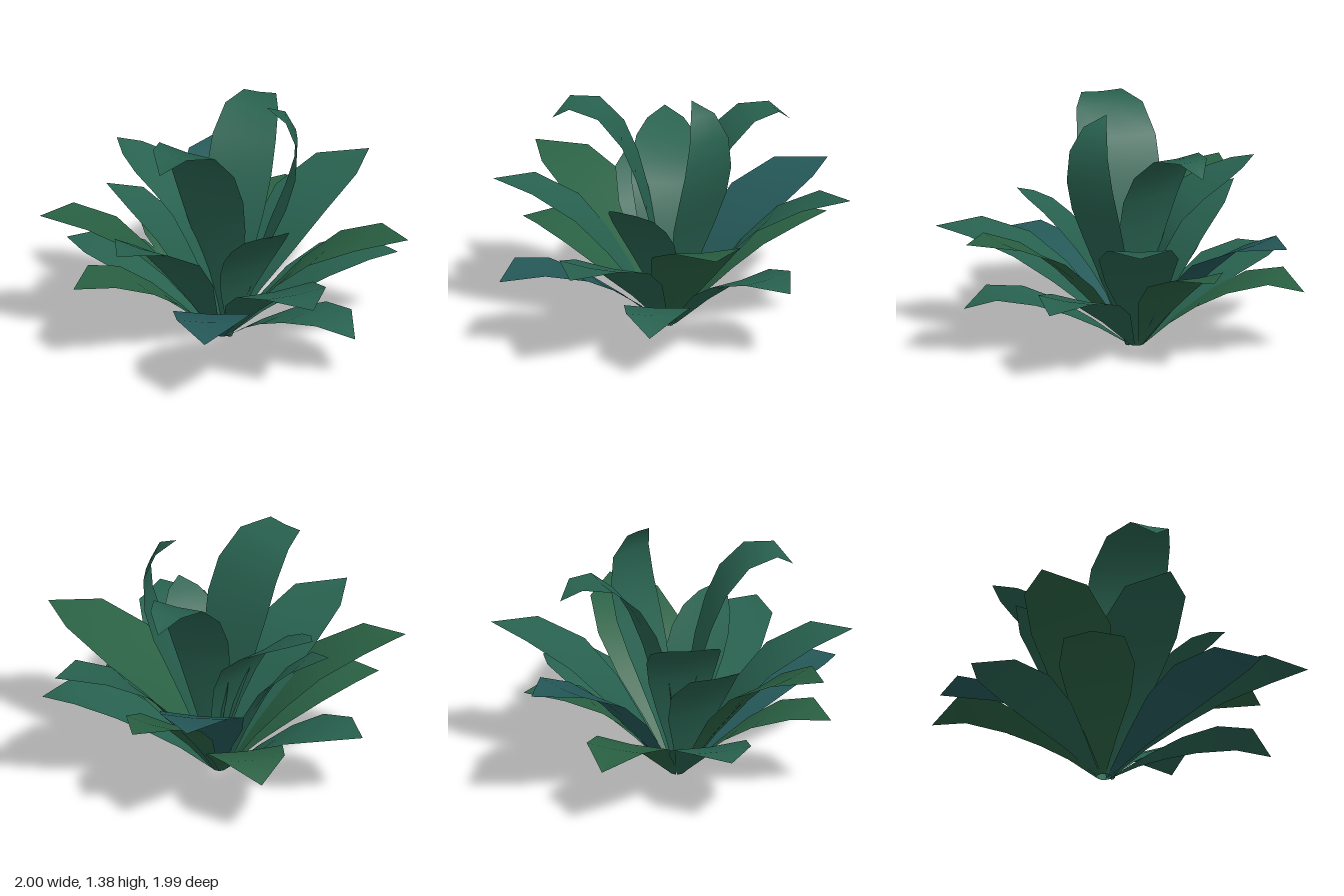
import * as THREE from 'three';

const OUTER_BASE = [-0.09, 0.04], INNER_BASE = [-0.05, 0.03];
const TEAL = 0x28614f, GREEN = 0x296043, BLUE = 0x255858;

// Leaf outlines: [share of the length, share of full width]
const OUTER_OUTLINE = [[0, 0.06], [0.22, 0.44], [0.42, 0.82], [0.62, 1], [0.83, 0.8], [1, 0]];
const INNER_OUTLINE = [[0, 0.06], [0.15, 0.32], [0.3, 0.62], [0.45, 0.88], [0.58, 1], [0.7, 0.98], [0.82, 0.82], [0.92, 0.5], [1, 0]];

// One leaf: spine is a list of [distance from the base, height], bent in the plane of the given angle
function leaf(name, [bx, bz], angle, spine, outline, width, color) {
  const curve = new THREE.CatmullRomCurve3(spine.map(([r, y]) => new THREE.Vector3(r, y, 0)));
  const pos = [], index = [];
  const dx = Math.cos(angle), dz = Math.sin(angle);
  outline.forEach(([t, w], i) => {
    const p = curve.getPointAt(t), d = curve.getTangentAt(t);
    const half = w * width / 2;
    for (const s of [-1, 0, 1]) {
      // edges rise a little above the midrib
      const lift = Math.abs(s) * half * 0.05;
      const r = p.x - d.y * lift, y = p.y + d.x * lift;
      pos.push(bx + dx * r - dz * s * half, y, bz + dz * r + dx * s * half);
    }
    if (i === 0) return;
    for (let k = 0; k < 2; k++) {
      const a = (i - 1) * 3 + k, b = a + 1, c = a + 3, e = a + 4;
      // the last row closes to a point
      if (i < outline.length - 1) index.push(a, b, c, b, e, c);
      else index.push(a, b, e);
    }
  });
  const geo = new THREE.BufferGeometry();
  geo.setAttribute('position', new THREE.Float32BufferAttribute(pos, 3));
  geo.setIndex(index);
  geo.computeVertexNormals();
  const mesh = new THREE.Mesh(geo, new THREE.MeshStandardMaterial({ color, side: THREE.DoubleSide }));
  mesh.name = name;
  return mesh;
}

// Arching leaf from its tip [x, y, z] and its height near the last bend
function archedLeaf(name, [x, y, z], bend, width, color) {
  const rx = x - OUTER_BASE[0], rz = z - OUTER_BASE[1], R = Math.hypot(rx, rz);
  const spine = [[0.04, 0.01], [0.3 * R, 0.5 * bend], [0.58 * R, 0.86 * bend], [0.82 * R, bend], [R, y]];
  return leaf(name, OUTER_BASE, Math.atan2(rz, rx), spine, OUTER_OUTLINE, width, color);
}

export function createModel() {
  const plant = new THREE.Group();
  plant.name = 'leafyPlant';

  // Low outer ring
  const lower = [
    [[0.87, 0.27, -0.09], 0.35, 0.37, TEAL],
    [[0.65, 0.44, 0.82], 0.485, 0.43, BLUE],
    [[-0.32, 0.47, 0.93], 0.505, 0.42, GREEN],
    [[-0.91, 0.44, 0.46], 0.44, 0.43, TEAL],
    [[-1.0, 0.38, -0.25], 0.455, 0.43, GREEN],
    [[0.44, 0.44, -0.78], 0.475, 0.43, TEAL],
    [[-0.47, 0.6, -0.76], 0.59, 0.4, GREEN],
  ];
  // Middle ring
  const middle = [
    [[1.0, 0.62, 0.33], 0.625, 0.47, TEAL],
    [[0.88, 0.76, -0.47], 0.74, 0.49, GREEN],
    [[-0.05, 0.83, -1.0], 0.81, 0.44, TEAL],
    [[-0.88, 0.76, -0.66], 0.75, 0.47, BLUE],
    [[-0.6, 0.82, 0.93], 0.8, 0.46, GREEN],
    [[0.11, 0.84, 0.99], 0.82, 0.45, TEAL],
    [[-0.65, 0.84, 0.4], 0.79, 0.37, TEAL],
  ];
  lower.forEach(([tip, bend, w, c], i) => plant.add(archedLeaf(`lowerLeaf${i + 1}`, tip, bend, w, c)));
  middle.forEach(([tip, bend, w, c], i) => plant.add(archedLeaf(`middleLeaf${i + 1}`, tip, bend, w, c)));

  // Upright inner leaves
  const inner = [
    ['innerRightLeaf', 2.86, [[0.02, 0.01], [0.1, 0.42], [0.26, 0.77], [0.47, 0.91], [0.6, 0.975], [0.73, 1.03]], 0.4],
    ['innerLeftLeaf', 0.24, [[0.02, 0.01], [0.1, 0.29], [0.22, 0.52], [0.34, 0.67], [0.47, 0.79], [0.63, 0.88]], 0.34],
    ['tallFrontLeaf', 1.35, [[0.01, 0.01], [0.06, 0.4], [0.16, 0.85], [0.27, 1.13], [0.38, 1.26], [0.48, 1.31], [0.57, 1.295], [0.645, 1.22]], 0.46],
    ['tallBackLeaf', -2.13, [[0.01, 0.01], [0.06, 0.35], [0.15, 0.75], [0.27, 1.02], [0.4, 1.17], [0.52, 1.22], [0.63, 1.21], [0.7, 1.14]], 0.37],
    ['tallCurledLeaf', -0.87, [[0.02, 0.01], [0.11, 0.3], [0.24, 0.65], [0.35, 0.92], [0.385, 1.12], [0.37, 1.24], [0.32, 1.33], [0.21, 1.39]], 0.32],
  ];
  inner.forEach(([name, angle, spine, w]) => plant.add(leaf(name, INNER_BASE, angle, spine, INNER_OUTLINE, w, TEAL)));
  return plant;
}
